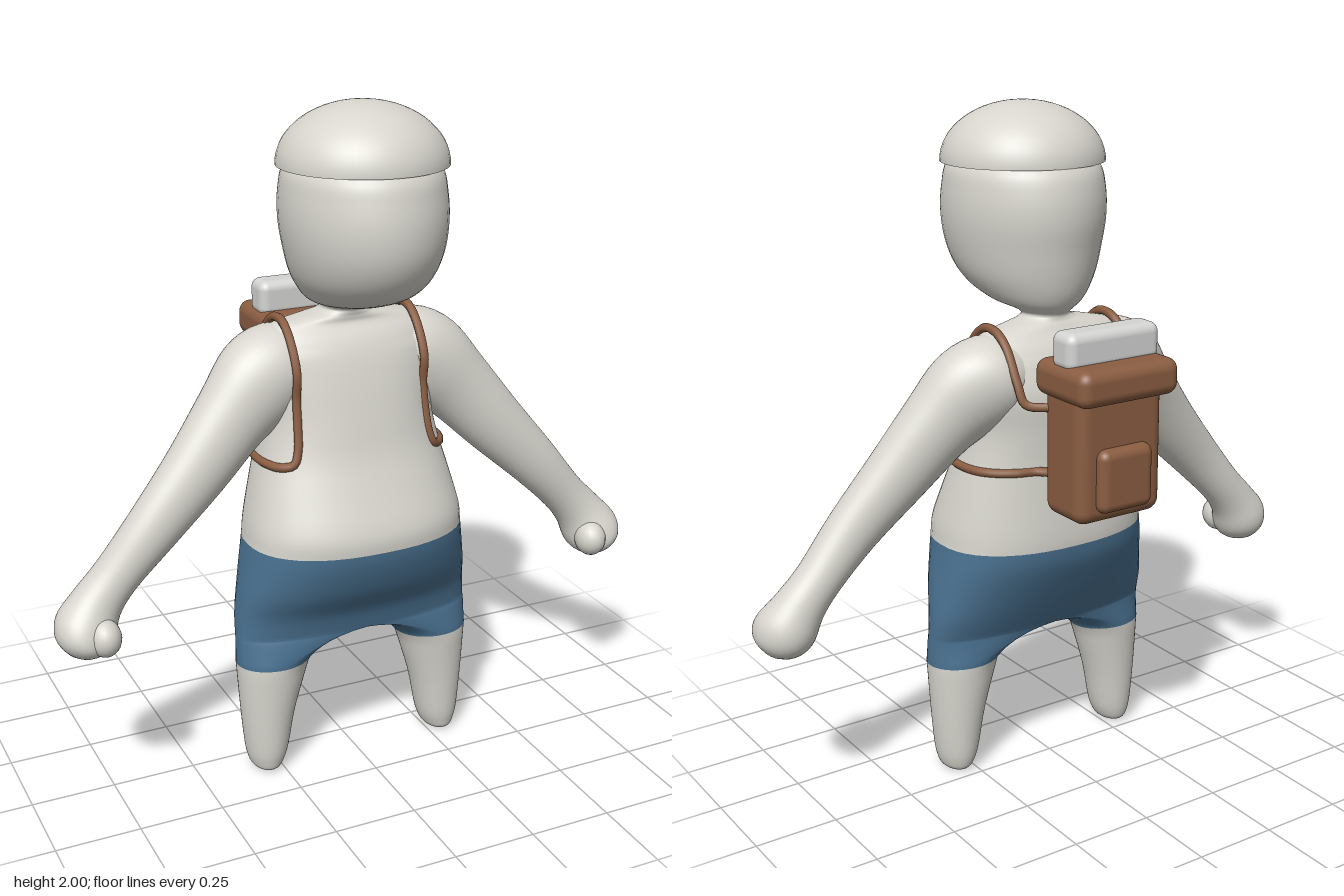
import * as THREE from 'three';
import { mergeVertices } from 'three/addons/utils/BufferGeometryUtils.js';
import { RoundedBoxGeometry } from 'three/addons/geometries/RoundedBoxGeometry.js';

const N = 48; // points around each cross-section
const V = (x, y, z) => new THREE.Vector3(x, y, z);
const spow = (v, p) => Math.sign(v) * Math.pow(Math.abs(v), p);

// Torso, neck and head sections: y, half width, front z, back z
const BODY = [
  [0.45, 0.376, 0.183, -0.033], [0.52, 0.372, 0.205, -0.07], [0.6, 0.36, 0.255, -0.11],
  [0.68, 0.345, 0.288, -0.145], [0.74, 0.335, 0.3, -0.157], [0.8, 0.328, 0.296, -0.157],
  [0.9, 0.305, 0.255, -0.15], [1.0, 0.28, 0.215, -0.145], [1.1, 0.264, 0.19, -0.148],
  [1.2, 0.275, 0.165, -0.15], [1.28, 0.28, 0.14, -0.125], [1.33, 0.268, 0.115, -0.1],
  [1.365, 0.225, 0.085, -0.07], [1.383, 0.15, 0.083, -0.058], [1.395, 0.088, 0.085, -0.05],
  [1.41, 0.072, 0.092, -0.05], [1.425, 0.09, 0.13, -0.065], [1.445, 0.13, 0.22, -0.08],
  [1.48, 0.165, 0.305, -0.095], [1.53, 0.195, 0.36, -0.107], [1.6, 0.216, 0.395, -0.118],
  [1.68, 0.228, 0.405, -0.13], [1.76, 0.226, 0.395, -0.126], [1.83, 0.208, 0.37, -0.1],
  [1.9, 0.13, 0.28, -0.01],
];

// Leg sections: y, inner x, outer x, front z, back z
const LEG = [
  [0, 0.29, 0.3, 0.09, 0.075], [0.002, 0.27, 0.318, 0.12, 0.045], [0.012, 0.252, 0.336, 0.142, 0.025],
  [0.035, 0.238, 0.347, 0.15, 0.015], [0.08, 0.224, 0.356, 0.158, 0.007],
  [0.2, 0.2, 0.367, 0.165, -0.002], [0.36, 0.15, 0.378, 0.175, -0.013],
];

// Arm rings: centre x, y, z, radius across, radius in z
const ARM = [
  [0.12, 1.25, 0, 0.09, 0.1], [0.2, 1.245, 0, 0.128, 0.125], [0.27, 1.205, 0.012, 0.138, 0.12],
  [0.36, 1.122, 0.035, 0.115, 0.097], [0.48, 0.99, 0.06, 0.098, 0.082], [0.62, 0.845, 0.078, 0.08, 0.07],
  [0.73, 0.725, 0.078, 0.068, 0.066], [0.79, 0.655, 0.082, 0.074, 0.072], [0.83, 0.595, 0.093, 0.088, 0.09],
  [0.853, 0.558, 0.1, 0.079, 0.088], [0.868, 0.532, 0.1, 0.055, 0.062], [0.876, 0.518, 0.1, 0.02, 0.025],
];

// Smooth interpolation of section rows
function refine(table, steps) {
  const out = [];
  const at = (i) => table[Math.min(Math.max(i, 0), table.length - 1)];
  for (let i = 0; i < table.length - 1; i++)
    for (let s = 0; s < steps; s++) {
      const t = s / steps;
      out.push(at(i).map((p1, k) => {
        const p0 = at(i - 1)[k], p2 = at(i + 1)[k], p3 = at(i + 2)[k];
        return p1 + 0.5 * t * (p2 - p0 + t * (2 * p0 - 5 * p1 + 4 * p2 - p3 + t * (3 * (p1 - p2) + p3 - p0)));
      }));
    }
  out.push(table[table.length - 1]);
  return out;
}

const bodyRows = refine(BODY, 4);

// Point of a body section at an angle (0 = left side, PI/2 = front)
function bodyPoint([y, a, zf, zb], th) {
  const p = 2 / (y > 1.4 ? 2 : y > 1.3 ? 2.2 : 2.35);
  return V(a * spow(Math.cos(th), p), y, (zf + zb) / 2 + ((zf - zb) / 2) * spow(Math.sin(th), p));
}

// Body section at any height
function sectionAt(y) {
  const i = Math.max(1, bodyRows.findIndex((r) => r[0] >= y));
  const A = bodyRows[i - 1], B = bodyRows[i], t = (y - A[0]) / (B[0] - A[0]);
  return A.map((v, k) => v + (B[k] - v) * t);
}

const ring = (f) => Array.from({ length: N }, (_, i) => f((i / N) * Math.PI * 2));

// Append a skin over rings of points; side -1 mirrors it in x
function loft(rows, side, pos, idx) {
  const base = pos.length / 3;
  rows.forEach((r) => r.forEach((p) => pos.push(p.x * side, p.y, p.z)));
  for (let j = 0; j < rows.length - 1; j++)
    for (let i = 0; i < N; i++) {
      const a = base + j * N + i, b = base + j * N + ((i + 1) % N), c = a + N, d = b + N;
      if (side > 0) idx.push(a, c, b, b, c, d);
      else idx.push(a, b, c, b, d, c);
    }
}

function weld(pos, idx) {
  let g = new THREE.BufferGeometry();
  g.setAttribute('position', new THREE.Float32BufferAttribute(pos, 3));
  g.setIndex(idx);
  g = mergeVertices(g, 1e-4);
  g.computeVertexNormals();
  return g;
}

// Keep the faces whose middle lies between two heights
function slice(g, y0, y1) {
  const p = g.attributes.position, src = g.index.array, idx = [];
  for (let i = 0; i < src.length; i += 3) {
    const y = (p.getY(src[i]) + p.getY(src[i + 1]) + p.getY(src[i + 2])) / 3;
    if (y >= y0 && y < y1) idx.push(src[i], src[i + 1], src[i + 2]);
  }
  const out = g.clone();
  out.setIndex(idx);
  return out;
}

export function createModel() {
  const root = new THREE.Group();
  const mat = (name, color) => Object.assign(new THREE.MeshStandardMaterial({ color }), { name });
  const skin = mat('pale skin', 0xd7d5cd);
  const blue = mat('blue shorts', 0x4a7190);
  const brown = mat('brown leather', 0x8a5d41);
  const roll = mat('light grey cloth', 0xd4d4d3);
  const add = (name, geo, m, x = 0, y = 0, z = 0) => {
    const mesh = new THREE.Mesh(geo, m);
    mesh.name = name;
    mesh.position.set(x, y, z);
    root.add(mesh);
    return mesh;
  };

  // Head, torso and legs are one welded skin, sliced into coloured parts
  const pos = [], idx = [];
  loft(bodyRows.map((r) => ring((th) => bodyPoint(r, th))), 1, pos, idx);
  const oval = ([y, xi, xo, zf, zb], th) =>
    V((xi + xo) / 2 + ((xo - xi) / 2) * Math.cos(th), y, (zf + zb) / 2 + ((zf - zb) / 2) * Math.sin(th));
  const legRows = refine(LEG, 3).map((r) => ring((th) => oval(r, th)));
  legRows.unshift(ring(() => V(0.295, 0, 0.082)));
  // Crotch arch: ovals open out into halves of the hip section
  for (const [y, t] of [[0.38, 0.88], [0.395, 0.78], [0.41, 0.65], [0.425, 0.5], [0.437, 0.33], [0.445, 0.17], [0.45, 0]])
    legRows.push(ring((th) => {
      const hip = bodyPoint(BODY[0], th);
      hip.x = Math.max(0, hip.x);
      return hip.lerp(oval(LEG[LEG.length - 1], th), t).setY(y);
    }));
  for (const s of [1, -1]) loft(legRows, s, pos, idx);
  const body = weld(pos, idx);
  add('legs', slice(body, -1, 0.36), skin);
  add('shorts', slice(body, 0.36, 0.74), blue);
  add('torso', slice(body, 0.74, 1.41), skin);
  add('head', slice(body, 1.41, 3), skin);

  // Cap
  add('cap', new THREE.SphereGeometry(1, 48, 16, 0, Math.PI * 2, 0, Math.PI / 2).scale(0.239, 0.17, 0.239), skin, 0, 1.83, 0.136);
  add('capUnderside', new THREE.CircleGeometry(0.239, 48).rotateX(Math.PI / 2), skin, 0, 1.83, 0.136);

  // Arms with mitten hands
  const arm = refine(ARM, 4);
  const armRows = arm.map(([x, y, z, r1, r2], i) => {
    const A = arm[Math.max(0, i - 1)], B = arm[Math.min(arm.length - 1, i + 1)];
    const d = V(B[0] - A[0], B[1] - A[1], 0).normalize();
    return ring((th) => V(x + d.y * r1 * Math.cos(th), y - d.x * r1 * Math.cos(th), z + r2 * Math.sin(th)));
  });
  armRows.push(ring(() => V(0.878, 0.514, 0.1)));

  // Strap: over the shoulder, down the chest, then round the side to the pack
  const low = sectionAt(0.985);
  const chest = (x, y) => {
    const s = sectionAt(y);
    return bodyPoint(s, Math.acos(Math.pow(x / s[1], 2.35 / 2))).setX(x);
  };
  const strapPath = new THREE.CatmullRomCurve3([
    V(0.13, 1.19, -0.2), V(0.19, 1.2, -0.16), V(0.2, 1.255, -0.135), V(0.2, 1.345, -0.08), V(0.2, 1.38, -0.03),
    V(0.2, 1.384, 0.03), V(0.2, 1.345, 0.087), V(0.2, 1.256, 0.137),
    chest(0.2, 1.18), chest(0.202, 1.1), chest(0.208, 1.035), chest(0.222, 0.997),
    ...[0.5, 0.25, 0, -0.3, -0.6, -0.9, -1.15].map((th) => bodyPoint(low, th)), V(0.08, 0.985, -0.2),
  ], false, 'centripetal');

  for (const s of [1, -1]) {
    const side = s > 0 ? 'left' : 'right';
    const p = [], f = [];
    loft(armRows, s, p, f);
    add(side + 'Arm', weld(p, f), skin);
    add(side + 'Thumb', new THREE.SphereGeometry(1, 20, 14).scale(0.047, 0.055, 0.055), skin, s * 0.797, 0.578, 0.157);
    const path = new THREE.CatmullRomCurve3(strapPath.points.map((q) => V(q.x * s, q.y, q.z)), false, 'centripetal');
    add(side + 'Strap', new THREE.TubeGeometry(path, 120, 0.013, 8), brown);
  }

  // Backpack: bag, lid, pocket and bedroll
  const box = (name, m, w, y0, y1, z0, z1, r) =>
    add(name, new RoundedBoxGeometry(w, y1 - y0, z1 - z0, 5, r), m, 0, (y0 + y1) / 2, (z0 + z1) / 2);
  box('bag', brown, 0.29, 0.88, 1.28, -0.36, -0.175, 0.04);
  box('bagLid', brown, 0.335, 1.23, 1.335, -0.405, -0.158, 0.035);
  box('bagPocket', brown, 0.18, 0.915, 1.1, -0.392, -0.33, 0.028);
  box('bedroll', roll, 0.31, 1.315, 1.423, -0.325, -0.226, 0.028);
  return root;
}
